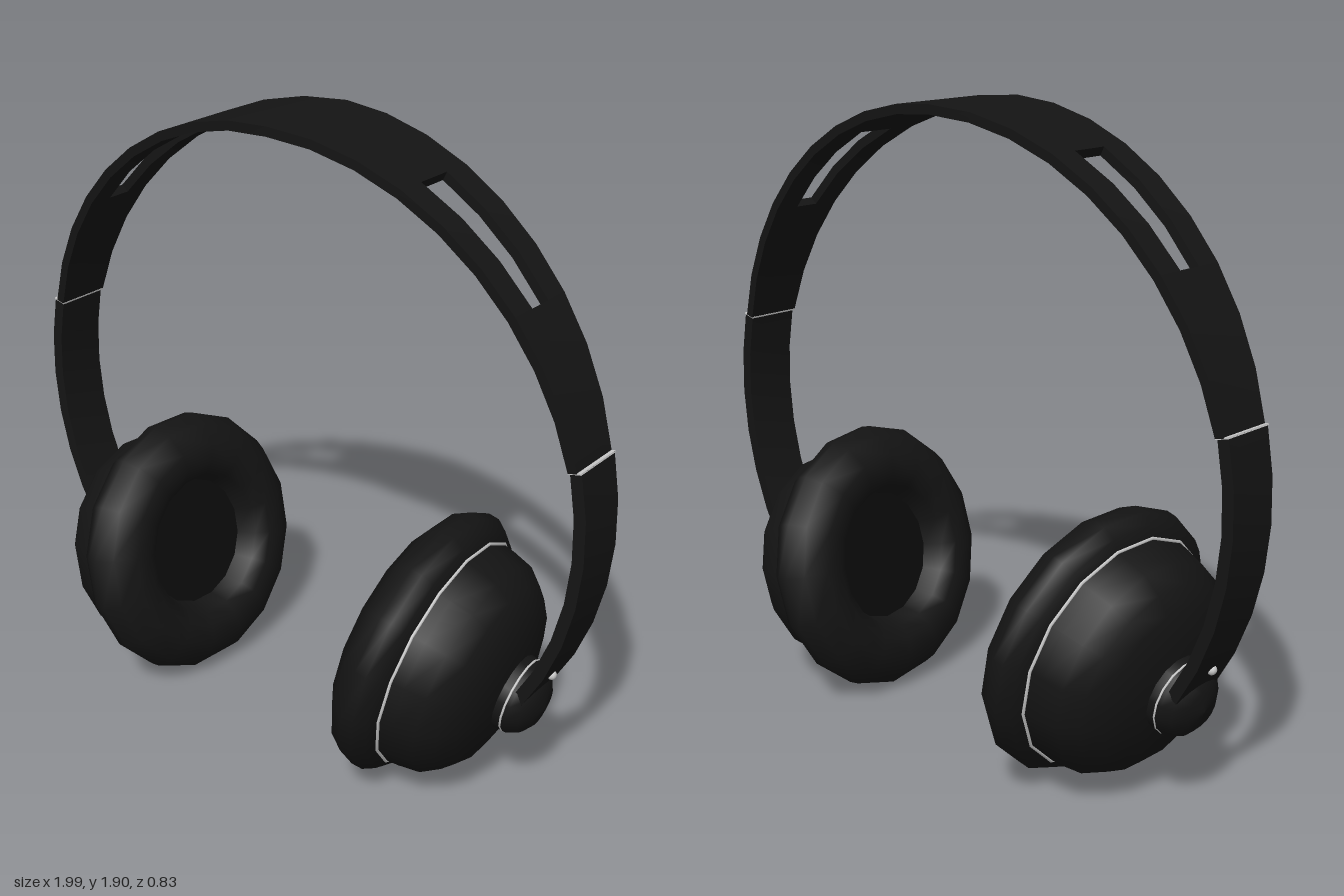
import * as THREE from 'three';

const black = new THREE.MeshStandardMaterial({ color: 0x141414 });
const darker = new THREE.MeshStandardMaterial({ color: 0x0c0c0c });
const silver = new THREE.MeshStandardMaterial({ color: 0xcccccc });
const deg = Math.PI / 180;
const SIDES = 16;
const ARC_Y = 0.91;          // centre height of the headband circle
const BAND_Z = -0.02;
const SLOT_START = 25.5, SLOT_END = 51, BAND_END = 76.5, STRAP_END = 123;

function add(parent, name, geometry, material) {
  const mesh = new THREE.Mesh(geometry, material);
  mesh.name = name;
  parent.add(mesh);
  return mesh;
}

// Bends a box around the headband circle; angles in degrees from the top.
// zRange(angle) gives the back and front edge of the strip.
function arcStrip(a0, a1, segments, rIn, rOut, zRange) {
  const geo = new THREE.BoxGeometry(1, 1, 1, segments, 1, 1);
  const p = geo.attributes.position;
  for (let i = 0; i < p.count; i++) {
    const a = THREE.MathUtils.lerp(a0, a1, p.getX(i) + 0.5);
    const r = p.getY(i) > 0 ? rOut : rIn;
    const [back, front] = zRange(a);
    p.setXYZ(i, r * Math.sin(a * deg), ARC_Y + r * Math.cos(a * deg),
      BAND_Z + (p.getZ(i) > 0 ? front : back));
  }
  geo.computeVertexNormals();
  return geo;
}

// Lathe from [radius, height] pairs, with a flat side facing down
function lathe(points) {
  return new THREE.LatheGeometry(points.map(([r, s]) => new THREE.Vector2(r, s)),
    SIDES, Math.PI / SIDES);
}

function trimRing(radius, tube, height) {
  return new THREE.TorusGeometry(radius, tube, 5, SIDES)
    .rotateX(Math.PI / 2).rotateY(Math.PI / SIDES).translate(0, height, 0);
}

function createHeadband() {
  const band = new THREE.Group();
  band.name = 'headband';
  const half = a => 0.175 - 0.087 * Math.abs(a) / BAND_END;
  const slot = a => 0.058 - 0.02 * (Math.abs(a) - SLOT_START) / (SLOT_END - SLOT_START);
  const full = a => [-half(a), half(a)];
  const strap = () => [-0.083, 0.083];
  const rIn = 0.958, rOut = 0.986;

  add(band, 'bandTop', arcStrip(-SLOT_START, SLOT_START, 6, rIn, rOut, full), black);
  for (const side of [-1, 1]) {
    // Keeps the angles rising so the faces point outwards
    const piece = (name, from, to, n, r0, r1, range, mat = black) =>
      add(band, name, arcStrip(Math.min(side * from, side * to),
        Math.max(side * from, side * to), n, r0, r1, range), mat);
    piece('slotRailFront', SLOT_START, SLOT_END, 3, rIn, rOut, a => [slot(a), half(a)]);
    piece('slotRailBack', SLOT_START, SLOT_END, 3, rIn, rOut, a => [-half(a), -slot(a)]);
    piece('bandSide', SLOT_END, BAND_END, 3, rIn, rOut, full);
    piece('bandSeam', BAND_END - 0.15, BAND_END + 0.15, 1, 0.957, 0.998,
      () => [-0.087, 0.087], silver);
    piece('lowerStrap', BAND_END, STRAP_END, 6, 0.962, 0.998, strap);
    // Screw at the strap end
    add(band, 'strapScrew', new THREE.SphereGeometry(0.015, 10, 8), silver)
      .position.set(side * 0.885, 0.455, -0.014);
  }
  return band;
}

// Ear cup built along +y, which points outwards from the head
function createEarCup(side, yaw) {
  const cup = new THREE.Group();
  cup.name = side > 0 ? 'leftEarCup' : 'rightEarCup';
  add(cup, 'speakerCover', lathe([[0, -0.085], [0.21, -0.085]].reverse()), darker)
    .material.side = THREE.DoubleSide;
  add(cup, 'earCushion', lathe([
    [0.2, -0.08], [0.225, -0.145], [0.265, -0.172], [0.325, -0.175], [0.388, -0.135],
    [0.418, -0.085], [0.416, -0.05], [0.393, -0.015], [0.36, 0],
  ]), black);
  add(cup, 'cupTrim', trimRing(0.36, 0.005, 0.002), silver);
  add(cup, 'cupShell', lathe([
    [0.358, 0], [0.352, 0.04], [0.337, 0.105], [0.298, 0.155], [0.25, 0.193],
    [0.15, 0.226], [0, 0.24],
  ]), black);
  add(cup, 'pivotTrim', trimRing(0.113, 0.004, 0.255), silver);
  add(cup, 'pivotKnob', lathe([
    [0.116, 0.22], [0.114, 0.27], [0.096, 0.302], [0.06, 0.326], [0, 0.337],
  ]), black);

  // Tilt outwards and down, turned slightly backwards
  const tilt = 12 * deg;
  const outward = new THREE.Vector3(
    side * Math.cos(tilt) * Math.cos(yaw * deg),
    -Math.sin(tilt),
    -Math.cos(tilt) * Math.sin(yaw * deg));
  cup.quaternion.setFromUnitVectors(new THREE.Vector3(0, 1, 0), outward);
  cup.position.set(side * 0.537, 0.392, 0);
  return cup;
}

export function createModel() {
  const model = new THREE.Group();
  model.name = 'headphones';
  model.add(createHeadband(), createEarCup(1, 5), createEarCup(-1, 2));
  return model;
}
